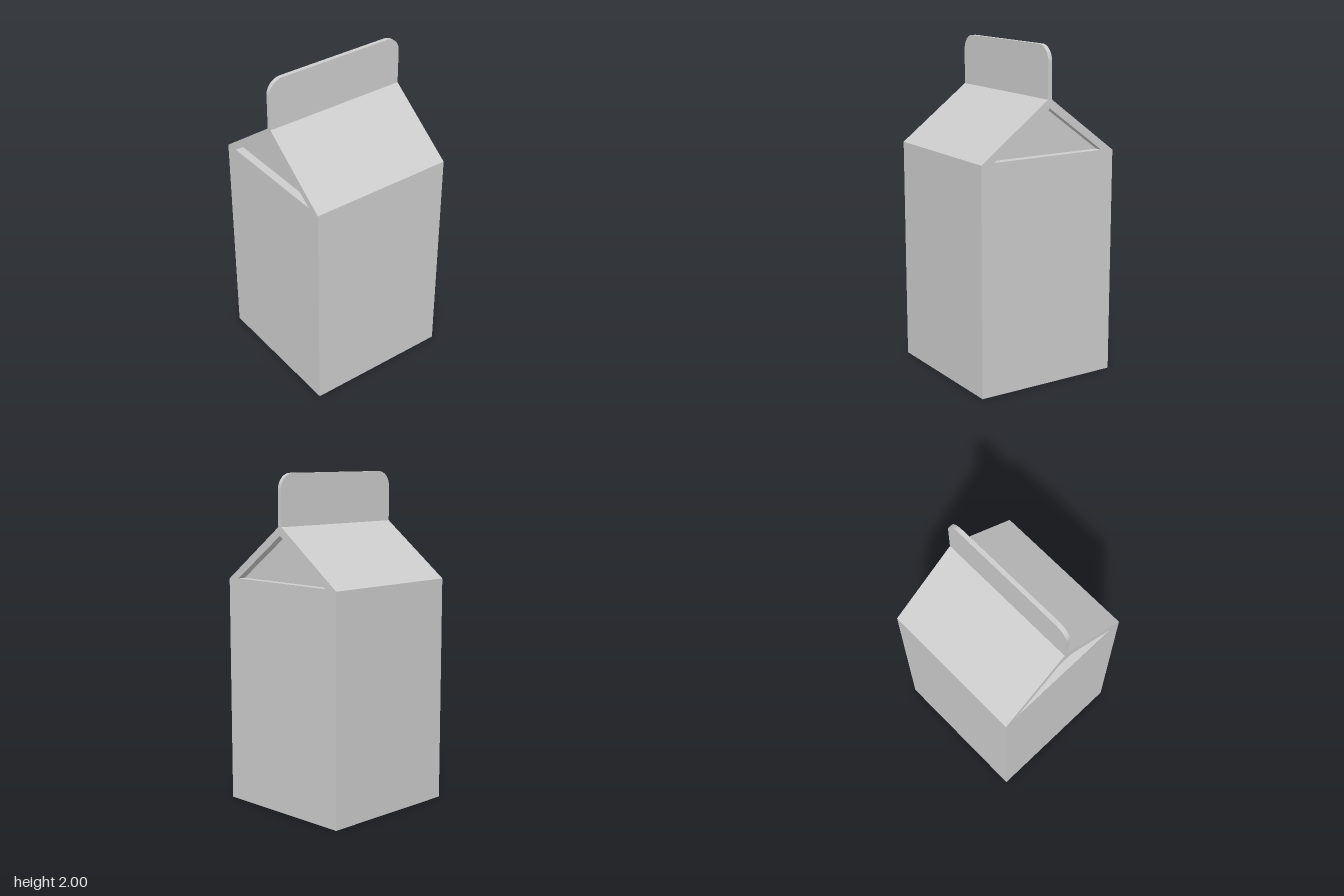
import * as THREE from 'three';

const HALF = 0.453;      // half width and half depth of the carton
const EAVE = 1.365;      // height where the roof begins
const RIDGE = 1.695;     // height where the roof meets the top seal
const SEAL = 0.013;      // half thickness of the top seal
const TOP = 2;
const RADIUS = 0.093;    // rounded corners of the seal
const RECESS = 0.05;     // depth of the gable recesses

const points = (list) => list.map(([x, y]) => new THREE.Vector2(x, y));
const gable = points([[-0.37, 1.372], [0.37, 1.372], [0, 1.645]]);

function extrude(shape, depth) {
  const geometry = new THREE.ExtrudeGeometry(shape, { depth, bevelEnabled: false, curveSegments: 8 });
  return geometry.translate(0, 0, -depth / 2);
}

export function createModel() {
  const card = new THREE.MeshStandardMaterial({ color: 0xcccccc });
  card.name = 'light grey card';
  const model = new THREE.Group();
  model.name = 'carton';

  const add = (name, geometry) => {
    const mesh = new THREE.Mesh(geometry, card);
    mesh.name = name;
    model.add(mesh);
    return mesh;
  };

  // Body and sloped roof, with the gable triangle cut through
  const profile = new THREE.Shape(points([
    [-HALF, 0], [HALF, 0], [HALF, EAVE], [SEAL, RIDGE], [-SEAL, RIDGE], [-HALF, EAVE],
  ]));
  profile.holes.push(new THREE.Path(gable));
  add('body', extrude(profile, HALF * 2));

  // Sunken triangular panels closing the cut at the front and back
  const panel = new THREE.ShapeGeometry(new THREE.Shape(gable));
  add('frontGablePanel', panel).position.z = HALF - RECESS;
  const back = add('backGablePanel', panel);
  back.position.z = RECESS - HALF;
  back.rotation.y = Math.PI;

  // Upright top seal with rounded upper corners
  const fin = new THREE.Shape();
  fin.moveTo(-HALF, RIDGE);
  fin.lineTo(HALF, RIDGE);
  fin.lineTo(HALF, TOP - RADIUS);
  fin.absarc(HALF - RADIUS, TOP - RADIUS, RADIUS, 0, Math.PI / 2, false);
  fin.lineTo(RADIUS - HALF, TOP);
  fin.absarc(RADIUS - HALF, TOP - RADIUS, RADIUS, Math.PI / 2, Math.PI, false);
  fin.closePath();
  add('topSeal', extrude(fin, SEAL * 2).rotateY(Math.PI / 2));

  return model;
}
